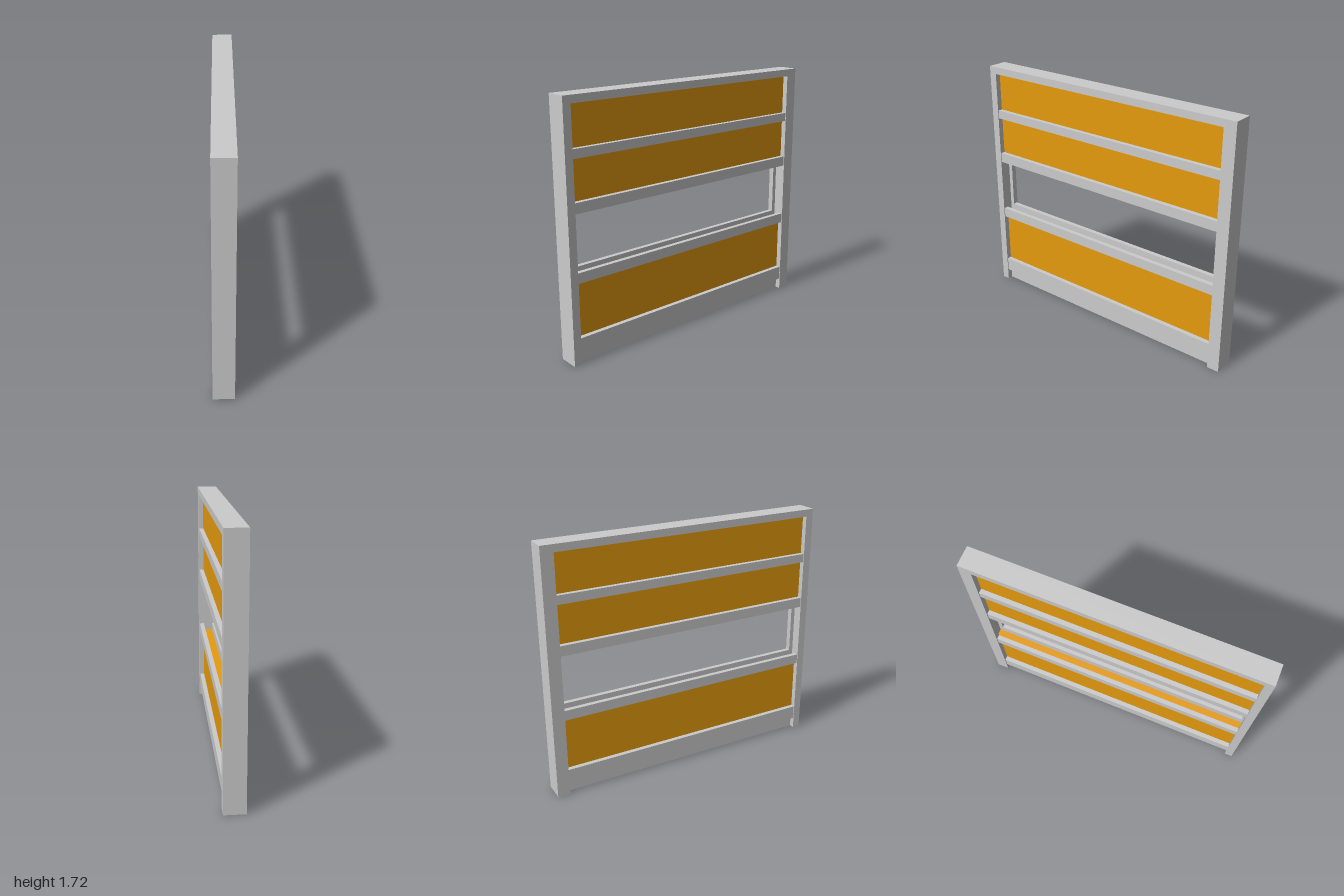
import * as THREE from 'three';

const HALF = 0.0715;   // half thickness of the frame
const INNER = 0.034;   // half width of the groove that holds the panels
const FACE = 0.066;    // outer face of the rails
const Z0 = -0.915, Z1 = 0.945; // inner faces of the two posts
const TOP = 1.72, HEAD = 1.67;

export function createModel() {
  const group = new THREE.Group();
  const grey = new THREE.MeshStandardMaterial({ color: 0xcccccc });
  const amber = new THREE.MeshStandardMaterial({ color: 0xe69b0e });

  const box = (name, x0, x1, y0, y1, z0, z1, material = grey) => {
    const mesh = new THREE.Mesh(new THREE.BoxGeometry(x1 - x0, y1 - y0, z1 - z0), material);
    mesh.position.set((x0 + x1) / 2, (y0 + y1) / 2, (z0 + z1) / 2);
    mesh.name = name;
    group.add(mesh);
  };

  // Channel-shaped posts, grooved on the inner side
  const post = (name, outer, inner) => {
    const floor = inner + Math.sign(outer) * 0.03;
    const points = [
      [-HALF, outer], [HALF, outer], [HALF, inner], [INNER, inner],
      [INNER, floor], [-INNER, floor], [-INNER, inner], [-HALF, inner],
    ].map(([x, z]) => new THREE.Vector2(x, -z));
    const geometry = new THREE.ExtrudeGeometry(new THREE.Shape(points), { depth: HEAD, bevelEnabled: false });
    geometry.rotateX(-Math.PI / 2);
    const mesh = new THREE.Mesh(geometry, grey);
    mesh.name = name;
    group.add(mesh);
  };
  post('frontPost', 1, Z1);
  post('backPost', -1, Z0);

  // Head beam and recessed sill
  box('headBeam', -HALF, HALF, HEAD, TOP, -1, 1);
  box('sill', -INNER, INNER, 0, 0.08, Z0 - 0.03, Z1 + 0.03);

  // Paired rails, one on each side of the panels
  const rails = [
    ['bottomRail', 0.08, 0.18],
    ['lowerWindowRail', 0.55, 0.62],
    ['upperWindowRail', 1.0, 1.07],
    ['middleRail', 1.34, 1.4],
  ];
  for (const [name, y0, y1] of rails) {
    box(name + 'Left', INNER, FACE, y0, y1, Z0, Z1);
    box(name + 'Right', -FACE, -INNER, y0, y1, Z0, Z1);
  }

  // Panels held in the groove, leaving the window open
  const p = INNER - 0.002;
  box('lowerPanel', -p, p, 0.08, 0.56, Z0 - 0.028, Z1 + 0.028, amber);
  box('upperPanel', -p, p, 1.06, HEAD, Z0 - 0.028, Z1 + 0.028, amber);

  // The whole frame stands very slightly turned
  group.rotation.y = 0.004;
  return group;
}
